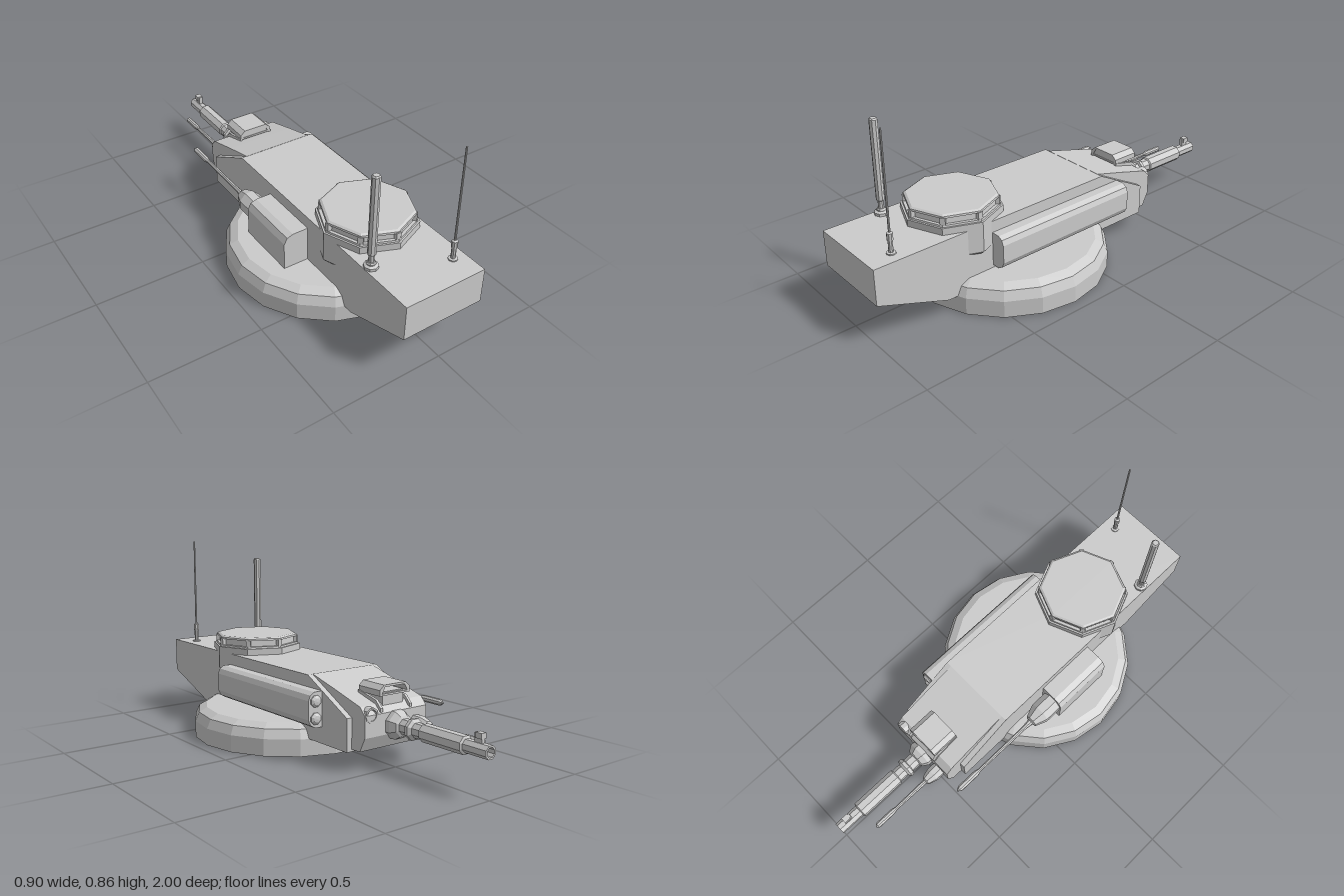
import * as THREE from 'three';

const material = new THREE.MeshStandardMaterial({ color: 0xcccccc, flatShading: true, side: THREE.DoubleSide });

function add(parent, name, geometry, x = 0, y = 0, z = 0) {
  const mesh = new THREE.Mesh(geometry, material);
  mesh.name = name;
  mesh.position.set(x, y, z);
  parent.add(mesh);
  return mesh;
}

function shapeOf(points) {
  return new THREE.Shape(points.map(([a, b]) => new THREE.Vector2(a, b)));
}

// Side outline of [z, y] points, extruded across x and centred
function sideExtrude(points, width) {
  const g = new THREE.ExtrudeGeometry(shapeOf(points), { depth: width, bevelEnabled: false });
  return g.translate(0, 0, -width / 2).rotateY(-Math.PI / 2);
}

// Front outline of [x, y] points, extruded along z from z0 to z1
function frontExtrude(points, z0, z1) {
  const g = new THREE.ExtrudeGeometry(shapeOf(points), { depth: z1 - z0, bevelEnabled: false });
  return g.translate(0, 0, z0);
}

// Upright turned part from [radius, height] points
function turned(points, sides, start = 0) {
  return new THREE.LatheGeometry(points.map(([r, h]) => new THREE.Vector2(r, h)), sides, start);
}

// Turned part lying along -z; heights are distances forward
function barrel(points, sides = 8) {
  return turned(points, sides, Math.PI / sides).rotateX(-Math.PI / 2);
}

export function createModel() {
  const root = new THREE.Group();
  root.name = 'turret';

  // Turret ring
  add(root, 'turretRing', turned(
    [[0, 0], [0.45, 0], [0.45, 0.075], [0.432, 0.115], [0.395, 0.135], [0, 0.135]], 18, Math.PI / 18), 0, 0, 0.235);

  // Body and the narrower gun mantlet in front of it
  add(root, 'body', sideExtrude(
    [[1, 0.35], [1, 0.192], [0.68, 0.075], [-0.42, 0.075], [-0.42, 0.215], [-0.16, 0.35]], 0.38));
  add(root, 'mantlet', sideExtrude(
    [[-0.16, 0.351], [-0.16, 0.08], [-0.47, 0.085], [-0.5, 0.145], [-0.5, 0.235], [-0.47, 0.268], [-0.31, 0.312]], 0.33));

  // Main gun
  const gun = new THREE.Group();
  gun.name = 'mainGun';
  gun.position.set(0, 0.18, 0);
  root.add(gun);
  add(gun, 'gunBarrel', barrel([
    [0.062, 0.47], [0.062, 0.52], [0.045, 0.545], [0.034, 0.55], [0.034, 0.59], [0.046, 0.595], [0.046, 0.61],
    [0.032, 0.62], [0.032, 0.66], [0.038, 0.665], [0.038, 0.88], [0.028, 0.885], [0.028, 1], [0.02, 1], [0.02, 0.93], [0, 0.93]]));
  add(gun, 'frontSight', new THREE.BoxGeometry(0.016, 0.04, 0.035), 0, 0.043, -0.945);
  add(gun, 'frontSightHood', new THREE.BoxGeometry(0.026, 0.022, 0.03), 0, 0.054, -0.95);

  // Secondary gun beside the main gun
  add(root, 'secondaryGun', barrel([
    [0.034, 0.48], [0.034, 0.54], [0.022, 0.58], [0.011, 0.585], [0.008, 0.76], [0.013, 0.78], [0.013, 0.87], [0, 0.88]]),
    -0.105, 0.17, 0);

  // Lamp on the other side of the gun
  add(root, 'lamp', barrel([
    [0, 0.41], [0.025, 0.415], [0.032, 0.44], [0.032, 0.503], [0.024, 0.503], [0.022, 0.485], [0, 0.485]], 10), 0.13, 0.235, 0);

  // Hooded sight on the mantlet, open at the front
  const sight = new THREE.Group();
  sight.name = 'gunnerSight';
  root.add(sight);
  add(sight, 'sightNeck', new THREE.BoxGeometry(0.11, 0.07, 0.085), 0, 0.28, -0.435);
  const hood = shapeOf([[-0.08, 0.302], [0.08, 0.302], [0.08, 0.326], [0.058, 0.346], [-0.058, 0.346], [-0.08, 0.326]]);
  hood.holes.push(new THREE.Path([[-0.068, 0.31], [-0.052, 0.337], [0.052, 0.337], [0.068, 0.31]]
    .map(([x, y]) => new THREE.Vector2(x, y))));
  add(sight, 'sightHood', new THREE.ExtrudeGeometry(hood, { depth: 0.13, bevelEnabled: false }), 0, 0, -0.49);
  add(sight, 'sightBack', new THREE.BoxGeometry(0.13, 0.034, 0.03), 0, 0.321, -0.378);
  for (const s of [-1, 1]) {
    add(sight, 'sightRib', sideExtrude(
      [[-0.36, 0.29], [-0.5, 0.24], [-0.5, 0.255], [-0.47, 0.285], [-0.36, 0.31]], 0.012), s * 0.078, 0, 0);
  }

  // Gun box on the right flank
  add(root, 'gunBox', frontExtrude([
    [-0.18, 0.13], [-0.18, 0.297], [-0.262, 0.297], [-0.29, 0.287], [-0.305, 0.26], [-0.305, 0.13]], 0.08, 0.37));
  add(root, 'flankGun', barrel([
    [0.052, -0.09], [0.052, 0], [0.03, 0.055], [0.015, 0.06], [0.01, 0.1], [0.008, 0.38], [0.014, 0.4], [0.014, 0.5], [0, 0.52]]),
    -0.25, 0.232, 0);

  // Launcher pod on the left flank, with two round noses
  add(root, 'launcherPod', frontExtrude([
    [0.18, 0.147], [0.225, 0.147], [0.247, 0.16], [0.26, 0.185], [0.26, 0.265], [0.25, 0.287], [0.23, 0.299], [0.18, 0.299]], -0.258, 0.455));
  for (const y of [0.187, 0.26]) {
    add(root, 'podNose', barrel([[0.027, 0.25], [0.026, 0.262], [0.015, 0.27], [0, 0.272]]), 0.224, y, 0);
  }

  // Eight-sided cupola with recessed windows
  const cupola = new THREE.Group();
  cupola.name = 'cupola';
  cupola.position.z = 0.517;
  root.add(cupola);
  add(cupola, 'cupolaBody', turned(
    [[0, 0.235], [0.205, 0.235], [0.214, 0.245], [0.214, 0.38], [0, 0.38]], 8));
  add(cupola, 'windowCore', turned([[0.19, 0.375], [0.185, 0.425]], 8));
  add(cupola, 'windowSill', turned([[0.19, 0.388], [0.204, 0.388], [0.206, 0.378]].reverse(), 8));
  add(cupola, 'cupolaRoof', turned(
    [[0.185, 0.416], [0.2, 0.416], [0.198, 0.424], [0.188, 0.43], [0, 0.43]], 8));
  for (let i = 0; i < 8; i++) {
    const a = i * Math.PI / 4;
    const post = add(cupola, 'windowPost', new THREE.BoxGeometry(0.022, 0.034, 0.018),
      Math.sin(a) * 0.192, 0.402, Math.cos(a) * 0.192);
    post.rotation.y = a;
  }

  // Rear aerials
  add(root, 'thickAerial', turned([
    [0.031, 0.345], [0.031, 0.362], [0.02, 0.368], [0.012, 0.37], [0.012, 0.41], [0.018, 0.415],
    [0.018, 0.766], [0.013, 0.772], [0, 0.772]], 8), -0.16, 0, 0.752);
  add(root, 'thickAerialFoot', turned([[0.02, 0.36], [0.02, 0.372], [0.016, 0.378], [0, 0.378]], 8), -0.16, 0, 0.752);
  add(root, 'thinAerial', turned([
    [0.02, 0.345], [0.02, 0.355], [0.01, 0.357], [0.01, 0.405], [0.013, 0.407], [0.013, 0.438],
    [0.005, 0.442], [0.004, 0.86], [0, 0.86]], 8), 0.13, 0, 0.887);

  return root;
}
